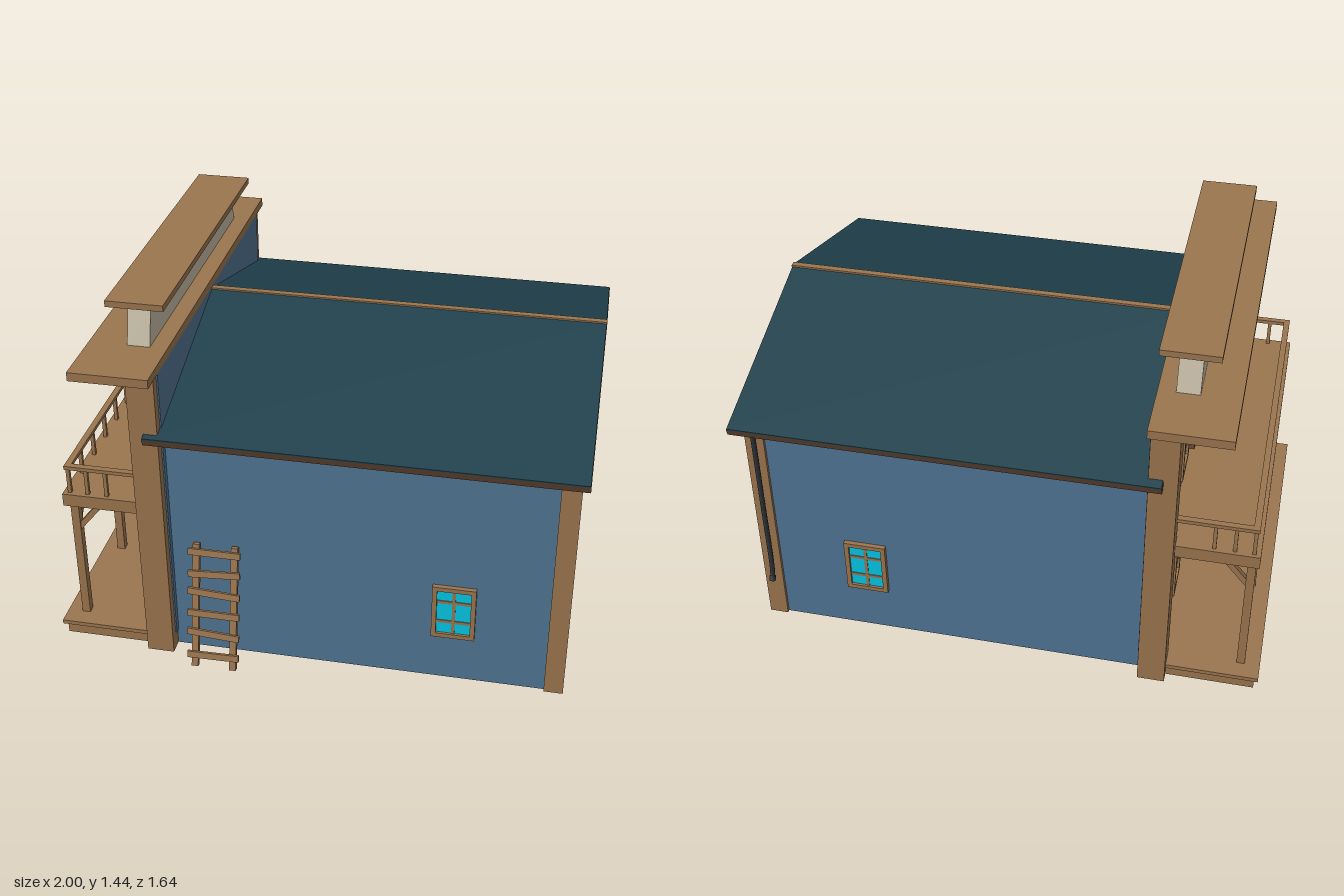
import * as THREE from 'three';

const mat = (name, color) => {
  const m = new THREE.MeshStandardMaterial({ color });
  m.name = name;
  return m;
};

export function createModel() {
  const root = new THREE.Group();
  root.name = 'saloon';
  const wood = mat('wood', 0x9c7650);
  const darkWood = mat('darkWood', 0x664a36);
  const doorBrown = mat('doorBrown', 0x523829);
  const blue = mat('bluePaint', 0x517595);
  const teal = mat('tealRoof', 0x1f404c);
  const glass = mat('glass', 0x04c6e6);
  const pale = mat('paleBoard', 0xc6bda6);
  const iron = mat('iron', 0x303438);

  const add = (name, geo, material, parent = root) => {
    const m = new THREE.Mesh(geo, material);
    m.name = name;
    parent.add(m);
    return m;
  };
  // box given by its min and max on each axis
  const box = (name, material, x0, x1, y0, y1, z0, z1, parent = root) => {
    const m = add(name, new THREE.BoxGeometry(x1 - x0, y1 - y0, z1 - z0), material, parent);
    m.position.set((x0 + x1) / 2, (y0 + y1) / 2, (z0 + z1) / 2);
    return m;
  };
  // bar between two points
  const bar = (name, material, a, b, w, h = w) => {
    const p = new THREE.Vector3(...a), q = new THREE.Vector3(...b);
    const m = add(name, new THREE.BoxGeometry(w, h, p.distanceTo(q)), material);
    m.position.copy(p).add(q).multiplyScalar(0.5);
    m.lookAt(q);
    return m;
  };
  // [z, y] outline swept along x
  const sweepX = (name, material, pts, x0, x1) => {
    const shape = new THREE.Shape(pts.map(([z, y]) => new THREE.Vector2(-z, y)));
    const geo = new THREE.ExtrudeGeometry(shape, { depth: x1 - x0, bevelEnabled: false });
    geo.rotateY(Math.PI / 2);
    geo.translate(x0, 0, 0);
    return add(name, geo, material);
  };

  // main building and false front, standing on a hollow skirt
  const floorY = 0.07;
  sweepX('houseWalls', blue, [[-0.69, floorY], [0.69, floorY], [0.69, 0.985], [0, 1.193], [-0.69, 0.985]], -0.57, 0.955);
  box('falseFront', blue, -0.62, -0.535, floorY, 1.23, -0.715, 0.715);
  box('houseFloor', wood, -0.62, 0.93, floorY - 0.008, floorY + 0.01, -0.67, 0.67);
  box('rearSkirt', blue, 0.92, 0.955, 0, floorY, -0.69, 0.69);
  for (const s of [-1, 1]) {
    const span = (a, b) => [Math.min(s * a, s * b), Math.max(s * a, s * b)];
    box('sideSkirt', blue, -0.57, 0.92, 0, floorY, ...span(0.655, 0.69));
    box('frontSkirt', blue, -0.62, -0.565, 0, floorY, ...span(0.11, 0.715));
    box('rearCornerPost', wood, 0.9, 0.973, 0, 0.975, ...span(0.632, 0.703));
    box('frontCornerPost', wood, -0.645, -0.54, 0, 1.23, ...span(0.65, 0.752));
  }

  // roof
  const ridge = 1.218, eave = 0.988, half = 0.78, th = 0.034, roofZ = -0.006;
  sweepX('roofDeck', darkWood, [
    [-half, eave], [-half + 0.01, eave - th + 0.006], [0, ridge - th],
    [half - 0.01, eave - th + 0.006], [half, eave], [0, ridge]], -0.594, 1.0).position.z = roofZ;
  for (const s of [-1, 1]) {
    const outline = [[0, ridge], [s * half, eave], [s * half, eave + 0.005], [0, ridge + 0.005]];
    sweepX('roofCovering', teal, outline, -0.592, 0.998).position.z = roofZ;
    for (let i = 0; i < 9; i++) {
      const x = -0.52 + i * 0.171;
      bar('rafterTail', wood, [x, 0.982, s * 0.66], [x, 0.962, s * 0.745], 0.03, 0.028);
    }
  }
  box('ridgeCap', wood, -0.535, 1.0, 1.21, 1.226, roofZ - 0.015, roofZ + 0.011);

  // cornice with curved brackets, sign board and its cap
  box('cornice', wood, -0.83, -0.535, 1.23, 1.264, -0.82, 0.82);
  const br = new THREE.Shape();
  br.moveTo(-0.615, 1.23);
  br.lineTo(-0.815, 1.23);
  br.lineTo(-0.815, 1.187);
  br.quadraticCurveTo(-0.70, 1.185, -0.665, 1.11);
  br.lineTo(-0.615, 1.11);
  for (const z of [-0.56, -0.21, 0.21, 0.56]) {
    const g = new THREE.ExtrudeGeometry(br, { depth: 0.036, bevelEnabled: false, curveSegments: 8 });
    add('corniceBracket', g, wood).position.z = z - 0.018;
  }
  sweepX('signBoard', pale, [[-0.588, 1.262], [0.588, 1.262], [0.543, 1.422], [-0.543, 1.422]], -0.685, -0.6);
  box('signCap', wood, -0.75, -0.535, 1.42, 1.444, -0.605, 0.605);

  // windows, built facing +z
  const makeWindow = (x, y, z, turn) => {
    const g = new THREE.Group();
    g.name = 'window';
    const w = 0.082, h = 0.116, b = 0.018;
    box('glassPane', glass, -w + 0.01, w - 0.01, -h + 0.01, h - 0.01, 0, 0.008, g);
    for (const s of [-1, 1]) {
      const e = s > 0 ? w - b : -w, f = s > 0 ? h - b : -h;
      box('frameSide', wood, e, e + b, -h, h, 0, 0.018, g);
      box('frameRail', wood, -w + b, w - b, f, f + b, 0, 0.018, g);
      box('crossBar', wood, -w + b, w - b, s * 0.045 - 0.006, s * 0.045 + 0.006, 0, 0.011, g);
    }
    box('centreBar', wood, -0.006, 0.006, -h + b, h - b, 0, 0.011, g);
    g.position.set(x, y, z);
    g.rotation.y = turn;
    root.add(g);
  };
  makeWindow(0.545, 0.32, 0.69, 0);
  makeWindow(0.545, 0.32, -0.69, Math.PI);
  for (const s of [-1, 1]) {
    makeWindow(0.955, 0.905, s * 0.285, Math.PI / 2);
    makeWindow(-0.62, 0.32, s * 0.41, -Math.PI / 2);
    makeWindow(-0.62, 0.905, s * 0.41, -Math.PI / 2);
  }

  // doors on both floors
  for (const [y0, y1] of [[0.07, 0.5], [0.655, 1.05]]) {
    box('doorLeaf', doorBrown, -0.628, -0.62, y0, y1, -0.1, 0.1);
    box('doorGlass', glass, -0.633, -0.628, y1 - 0.17, y1 - 0.03, -0.07, 0.07);
    for (const s of [-1, 1]) box('doorJamb', darkWood, -0.642, -0.62, y0, y1, s * 0.11 - 0.013, s * 0.11 + 0.013);
    box('doorLintel', darkWood, -0.642, -0.62, y1, y1 + 0.022, -0.123, 0.123);
  }

  // porch and balcony
  box('porchBase', wood, -0.985, -0.62, 0.004, 0.055, -0.715, 0.715);
  box('porchBoards', wood, -1.0, -0.62, 0.053, 0.07, -0.73, 0.73);
  box('balconyFloor', wood, -0.955, -0.62, 0.603, 0.655, -0.695, 0.695);
  for (const z of [-0.645, -0.215, 0.215, 0.645]) {
    box('balconyPost', wood, -0.942, -0.91, 0.07, 0.605, z - 0.016, z + 0.016);
    bar('postBrace', wood, [-0.925, 0.47, z], [-0.815, 0.605, z], 0.022);
    for (const s of [-1, 1]) {
      if (Math.abs(z + s * 0.1) < 0.68) bar('postBrace', wood, [-0.926, 0.49, z], [-0.926, 0.605, z + s * 0.1], 0.02);
    }
  }
  box('frontHandrail', wood, -0.942, -0.918, 0.76, 0.775, -0.685, 0.685);
  for (let i = 0; i < 11; i++) {
    const z = -0.673 + i * 0.1346;
    box('baluster', wood, -0.937, -0.923, 0.655, 0.76, z - 0.007, z + 0.007);
  }
  for (const s of [-1, 1]) {
    box('sideHandrail', wood, -0.93, -0.64, 0.76, 0.775, s * 0.673 - 0.012, s * 0.673 + 0.012);
    for (const x of [-0.86, -0.785]) {
      box('baluster', wood, x - 0.007, x + 0.007, 0.655, 0.76, s * 0.673 - 0.007, s * 0.673 + 0.007);
    }
  }

  // leaning ladder with uneven rungs
  for (const x of [-0.434, -0.285]) bar('ladderRail', wood, [x, 0.004, 0.813], [x, 0.508, 0.707], 0.026, 0.02);
  [[0.06, 0.002], [0.15, -0.007], [0.233, 0], [0.318, -0.006], [0.398, 0.007], [0.483, 0]].forEach(([y, d]) => {
    const z = 0.828 - y * 0.21;
    const rung = bar('ladderRung', wood, [-0.462, y - d, z], [-0.26, y + d, z], 0.012, 0.026);
    rung.rotateZ(-0.207);
  });

  // drainpipe at the back corner
  const path = new THREE.CatmullRomCurve3([
    [0.93, 0.975, -0.722], [0.93, 0.6, -0.723], [0.93, 0.25, -0.725], [0.93, 0.21, -0.735],
  ].map((p) => new THREE.Vector3(...p)));
  add('drainpipe', new THREE.TubeGeometry(path, 20, 0.01, 8), iron);
  const spout = add('drainSpout', new THREE.CylinderGeometry(0.013, 0.013, 0.02, 8), iron);
  spout.position.set(0.93, 0.215, -0.734);
  spout.rotation.x = 0.5;

  return root;
}
